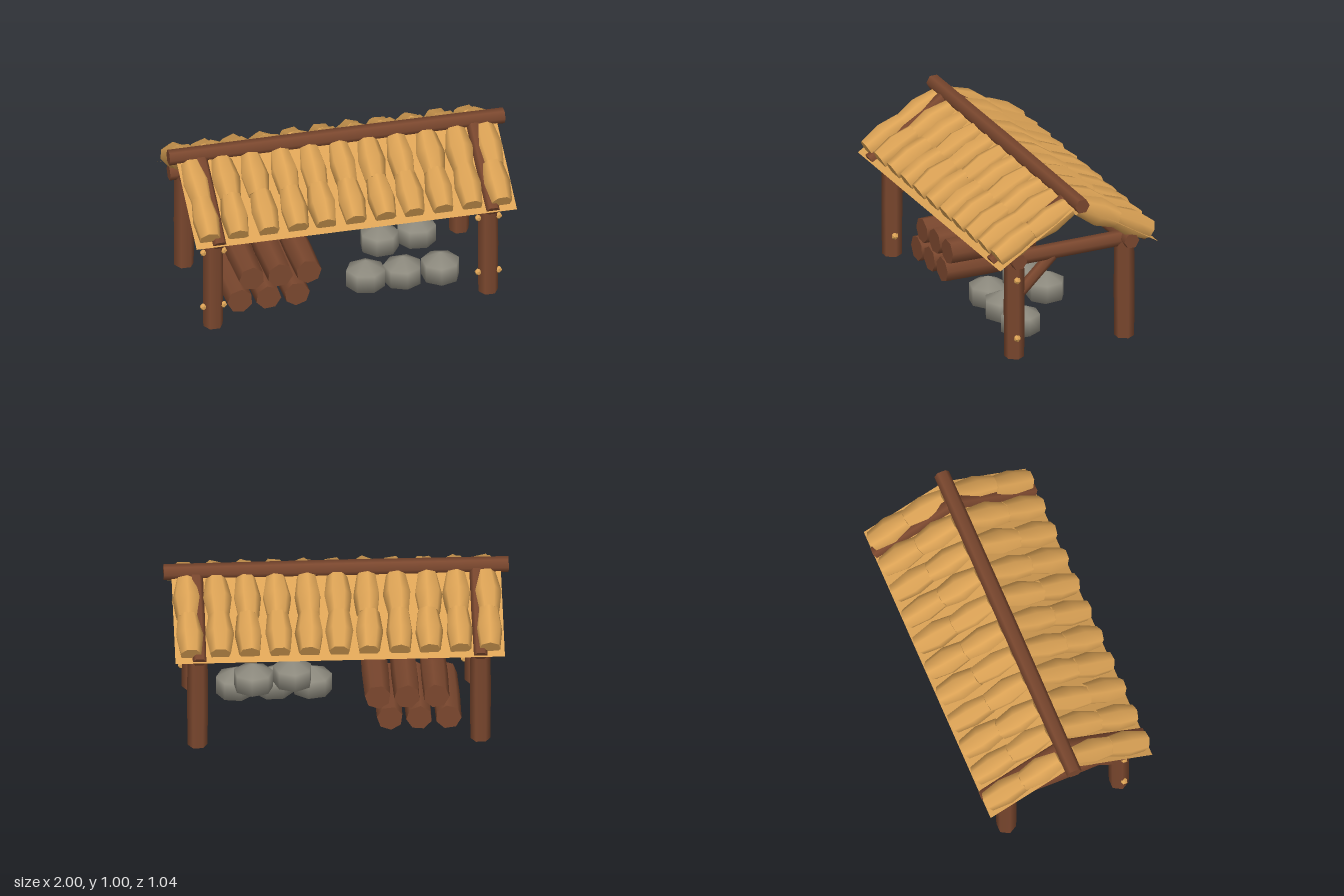
import * as THREE from 'three';

const mat = (name, color, side = THREE.FrontSide) => {
  const m = new THREE.MeshStandardMaterial({ color, side });
  m.name = name;
  return m;
};

export function createModel() {
  const model = new THREE.Group();
  model.name = 'woodShelter';
  const wood = mat('wood', 0x7a472e);
  const thatch = mat('thatch', 0xdba255, THREE.DoubleSide);
  const stone = mat('stone', 0x8f8c80);

  let seed = 7;
  const jitter = (a) => {
    seed = (seed * 16807) % 2147483647;
    return (seed / 2147483647 * 2 - 1) * a;
  };

  const add = (name, geometry, material, parent = model) => {
    const mesh = new THREE.Mesh(geometry, material);
    mesh.name = name;
    parent.add(mesh);
    return mesh;
  };
  const group = (name) => {
    const g = new THREE.Group();
    g.name = name;
    model.add(g);
    return g;
  };

  // A pole between two points, swollen at the middle and turned about its axis
  const pole = (name, from, to, r, { mid = r, sides = 6, turn = 0, material = wood, parent = model } = {}) => {
    const a = new THREE.Vector3(...from), b = new THREE.Vector3(...to);
    const dir = b.clone().sub(a), len = dir.length();
    const geo = new THREE.CylinderGeometry(r, r, len, sides, 2);
    const p = geo.attributes.position;
    for (let i = 0; i < p.count; i++) {
      if (Math.abs(p.getY(i)) < 1e-4) {
        p.setX(i, p.getX(i) * mid / r);
        p.setZ(i, p.getZ(i) * mid / r);
      }
    }
    geo.rotateY(turn);
    const mesh = add(name, geo, material, parent);
    mesh.position.copy(a).add(b).multiplyScalar(0.5);
    mesh.quaternion.setFromUnitVectors(new THREE.Vector3(0, 1, 0), dir.normalize());
    return mesh;
  };
  const flat = Math.PI / 6;

  // Frame
  pole('ridgePole', [-1, 0.963, 0], [1, 0.963, 0], 0.046, { mid: 0.049 });
  for (const z of [0.36, -0.36]) {
    pole('eaveBeam', [-0.91, 0.64, z], [0.91, 0.64, z], 0.048, { mid: 0.05 });
  }
  for (const s of [1, -1]) {
    const x = s * 0.82;
    for (const z of [0.353, -0.353]) {
      pole('post', [x, 0.015, z], [x, 0.63, z], 0.058, { mid: 0.061, turn: flat });
    }
    pole('crossBeam', [x, 0.633, -0.36], [x, 0.633, 0.36], 0.046, { turn: flat });
    pole('kneeBrace', [x, 0.40, 0.33], [x, 0.61, 0.11], 0.035, { turn: flat });
    for (const f of [1, -1]) {
      pole('rafter', [s * 0.815, 0.95, 0], [s * 0.815, 0.63, f * 0.495], 0.043, { mid: 0.045, turn: flat });
    }
    // Pegs through the front posts
    for (const y of [0.515, 0.15]) {
      for (const dx of [-0.06, 0.06]) {
        add('peg', new THREE.IcosahedronGeometry(0.022, 0), thatch).position.set(x + dx, y, 0.362);
      }
    }
  }

  // Roof: a thin sheet on each slope with two rows of thatch bundles
  const roof = group('thatchRoof');
  for (const f of [1, -1]) {
    const dy = -0.32, dz = 0.507;
    const sheet = add('roofSheet', new THREE.PlaneGeometry(1.91, Math.hypot(dy, dz)), thatch, roof);
    sheet.position.set(0, 0.95 + dy / 2, f * dz / 2);
    sheet.rotation.x = -f * Math.atan2(dz, -dy);
    for (let i = 0; i < 11; i++) {
      const x = -0.87 + i * 0.174;
      const opts = (mid) => ({ mid: mid + jitter(0.004), sides: 7, turn: jitter(Math.PI), material: thatch, parent: roof });
      pole('upperBundle', [x + jitter(0.006), 0.915, f * 0.03], [x + jitter(0.006), 0.795, f * 0.27], 0.062, opts(0.084));
      pole('lowerBundle', [x + jitter(0.006), 0.805, f * 0.262], [x + jitter(0.006), 0.677, f * 0.488], 0.062, opts(0.082));
    }
  }

  // Stacked logs
  const logs = group('logPile');
  for (const [x0, y] of [[-0.64, 0.105], [-0.57, 0.245]]) {
    for (let i = 0; i < 3; i++) {
      const x = x0 + i * 0.17;
      pole('log', [x, y, -0.26], [x, y, 0.28], 0.076, { mid: 0.08, sides: 7, turn: 0.3 + i * 0.25, parent: logs });
    }
  }

  // Stacked stones
  const stones = group('stonePile');
  const spots = [
    [0.13, 0.112, 0.19], [0.35, 0.11, 0.195], [0.575, 0.107, 0.195],
    [0.25, 0.25, 0.03], [0.48, 0.245, -0.01],
  ];
  spots.forEach(([x, y, z], i) => {
    const rock = add('stone', new THREE.SphereGeometry(1, 7, 3), stone, stones);
    rock.position.set(x, y, z);
    rock.scale.set(0.134, 0.106, 0.13);
    rock.rotation.set(0, i * 0.7, 0);
  });

  return model;
}
